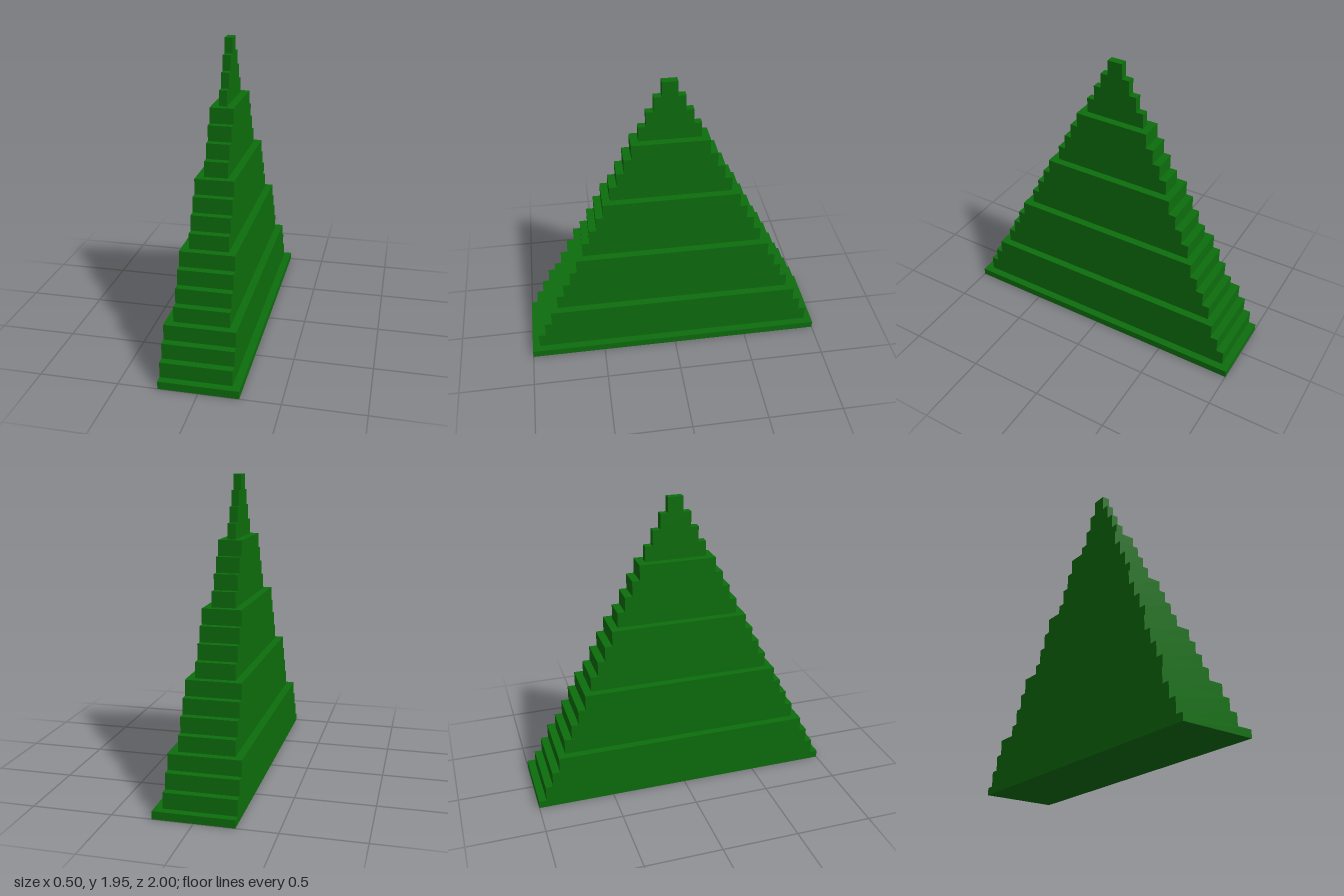
import * as THREE from 'three';

const STEP = 0.05;

// Box spanning x0..x1 and y0..y1, symmetric in z
function slab(name, x0, x1, y0, y1, halfDepth, material) {
  const mesh = new THREE.Mesh(new THREE.BoxGeometry(x1 - x0, y1 - y0, halfDepth * 2), material);
  mesh.position.set((x0 + x1) / 2, (y0 + y1) / 2, 0);
  mesh.name = name;
  return mesh;
}

export function createModel() {
  const green = new THREE.MeshStandardMaterial({ color: 0x0d6e0d });
  green.name = 'forest green';

  const model = new THREE.Group();
  model.name = 'steppedPyramid';

  // Thin base plate, one step wider on the left side
  model.add(slab('basePlate', -0.25, 0.25, 0, STEP, 1, green));

  // Each layer shortens at both ends; every fourth layer also narrows
  for (let i = 1; i < 20; i++) {
    const tier = Math.floor(i / 4);
    const y = STEP + (i - 1) * 2 * STEP;
    model.add(slab(`layer${i}`, -0.25 + tier * STEP, 0.2 - tier * STEP, y, y + 2 * STEP, 1 - i * STEP, green));
  }
  return model;
}
